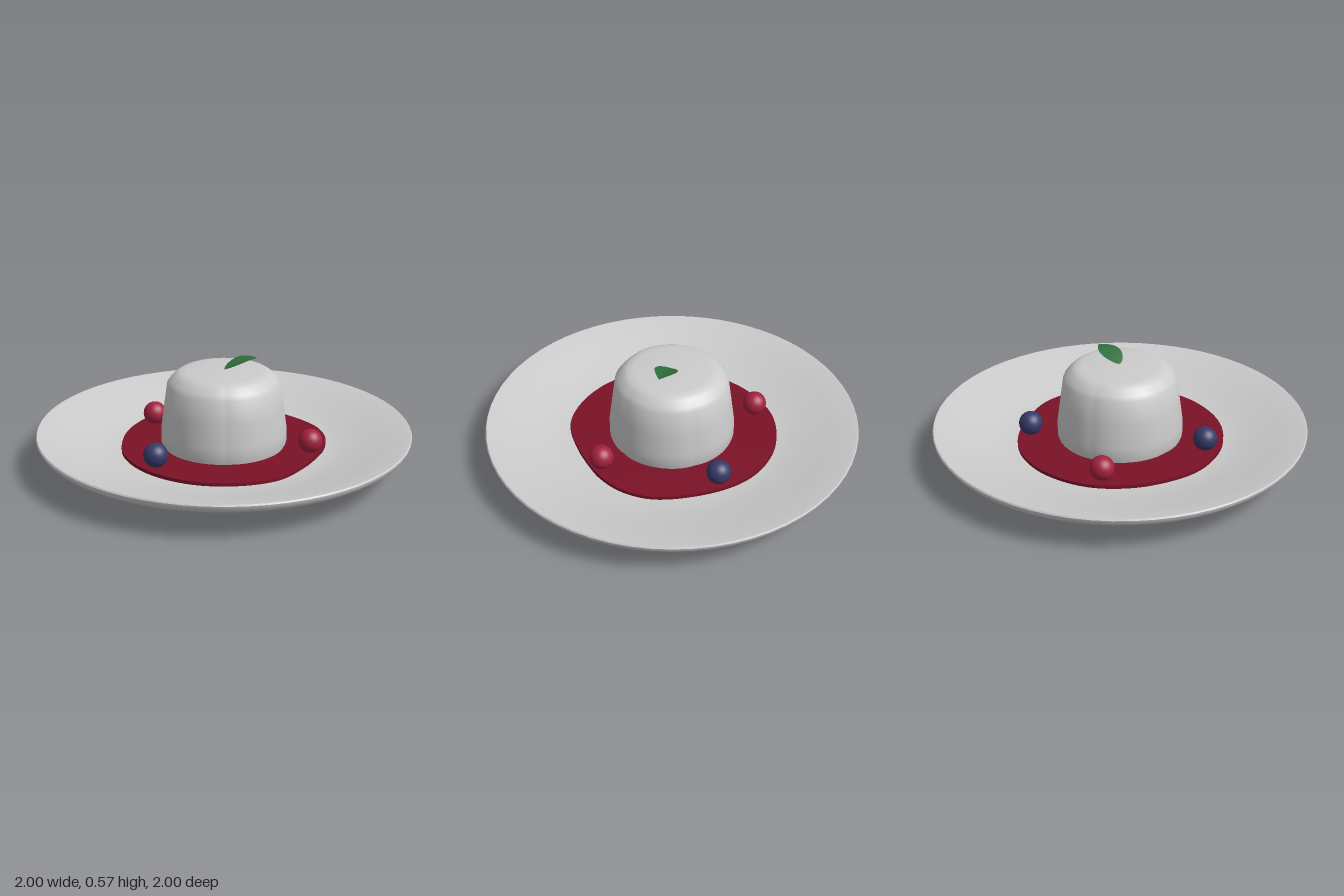
import * as THREE from 'three';
import { toCreasedNormals } from 'three/addons/utils/BufferGeometryUtils.js';

const material = (color = 0xcccccc, side = THREE.FrontSide) =>
  new THREE.MeshStandardMaterial({ color, side });

function part(parent, name, geometry, mat) {
  const mesh = new THREE.Mesh(geometry, mat);
  mesh.name = name;
  parent.add(mesh);
  return mesh;
}

const lathe = (pairs, segments) =>
  new THREE.LatheGeometry(pairs.map(([r, y]) => new THREE.Vector2(r, y)), segments);

// Shallow plate with a flat foot and a thin rim
function plateGeometry() {
  return toCreasedNormals(lathe([
    [0, 0], [0.645, 0], [0.665, 0.018], [0.69, 0.052], [0.72, 0.065], [0.965, 0.145],
    [0.985, 0.158], [0.998, 0.178], [1, 0.19], [0.995, 0.197], [0.97, 0.193],
    [0.85, 0.158], [0.72, 0.122], [0.64, 0.102], [0.56, 0.09], [0.4, 0.085], [0, 0.085],
  ], 64), 0.65);
}

// Irregular pool of sauce
function sauceGeometry() {
  const outline = [
    [0.535, -0.07], [0.52, 0.06], [0.48, 0.22], [0.4, 0.39], [0.23, 0.51], [0, 0.56],
    [-0.25, 0.5], [-0.45, 0.33], [-0.54, 0.1], [-0.55, -0.08], [-0.5, -0.27],
    [-0.35, -0.45], [-0.17, -0.54], [0, -0.555], [0.2, -0.5], [0.42, -0.365], [0.51, -0.22],
  ].map(([x, z]) => new THREE.Vector3(x, z, 0));
  const points = new THREE.CatmullRomCurve3(outline, true).getPoints(96).slice(0, -1);
  const shape = new THREE.Shape(points.map((p) => new THREE.Vector2(p.x, p.y)));
  const geometry = new THREE.ExtrudeGeometry(shape, { depth: 0.025, bevelEnabled: false });
  return geometry.rotateX(Math.PI / 2).translate(0, 0.108, 0);
}

// Moulded pudding: a lathe with five fine grooves pressed in
function puddingGeometry() {
  const geometry = lathe([
    [0.325, 0.085], [0.337, 0.12], [0.337, 0.19], [0.319, 0.32], [0.302, 0.44], [0.285, 0.463],
    [0.258, 0.49], [0.235, 0.504], [0.2, 0.508], [0.1, 0.513], [0, 0.515],
  ], 120);
  const pos = geometry.attributes.position;
  for (let i = 0; i < pos.count; i++) {
    const x = pos.getX(i), z = pos.getZ(i);
    const angle = Math.atan2(z, x);
    const groove = Math.pow(1 - Math.abs(Math.sin(2.5 * angle)), 3);
    const k = 1 - 0.013 * groove;
    pos.setX(i, x * k);
    pos.setZ(i, z * k);
  }
  return toCreasedNormals(geometry, 0.6);
}

// Leaf folded along its midrib and arching upwards
function leafGeometry() {
  const geometry = new THREE.PlaneGeometry(1, 2, 16, 6);
  const pos = geometry.attributes.position;
  for (let i = 0; i < pos.count; i++) {
    const t = pos.getX(i) + 0.5, s = pos.getY(i);
    const width = 0.06 * Math.pow(Math.sin(Math.PI * Math.pow(t, 0.85)), 0.75 + 0.2 * t) || 0;
    const across = s * width;
    const y = 0.513 + 0.052 * Math.sin(t * Math.PI / 2) + 0.2 * Math.abs(across);
    pos.setXYZ(i, 0.16 * t - 0.46 * across, y, -0.09 * t - 0.88 * across);
  }
  geometry.computeVertexNormals();
  return geometry;
}

export function createModel() {
  const model = new THREE.Group();
  model.name = 'dessertPlate';

  part(model, 'plate', plateGeometry(), material());
  part(model, 'sauce', sauceGeometry(), material(0x7a1226));
  part(model, 'pudding', puddingGeometry(), material());
  part(model, 'leaf', leafGeometry(), material(0x2f6e3c, THREE.DoubleSide));

  // Four berries resting in the sauce
  const red = material(0xa3213f), blue = material(0x363a68);
  const berry = new THREE.SphereGeometry(0.064, 28, 20);
  [
    ['redBerryRight', -0.455, -0.165, red],
    ['redBerryLeft', 0.475, 0, red],
    ['blueBerryBack', 0.08, -0.475, blue],
    ['blueBerryFront', -0.24, 0.415, blue],
  ].forEach(([name, x, z, mat]) => part(model, name, berry, mat).position.set(x, 0.163, z));

  return model;
}
